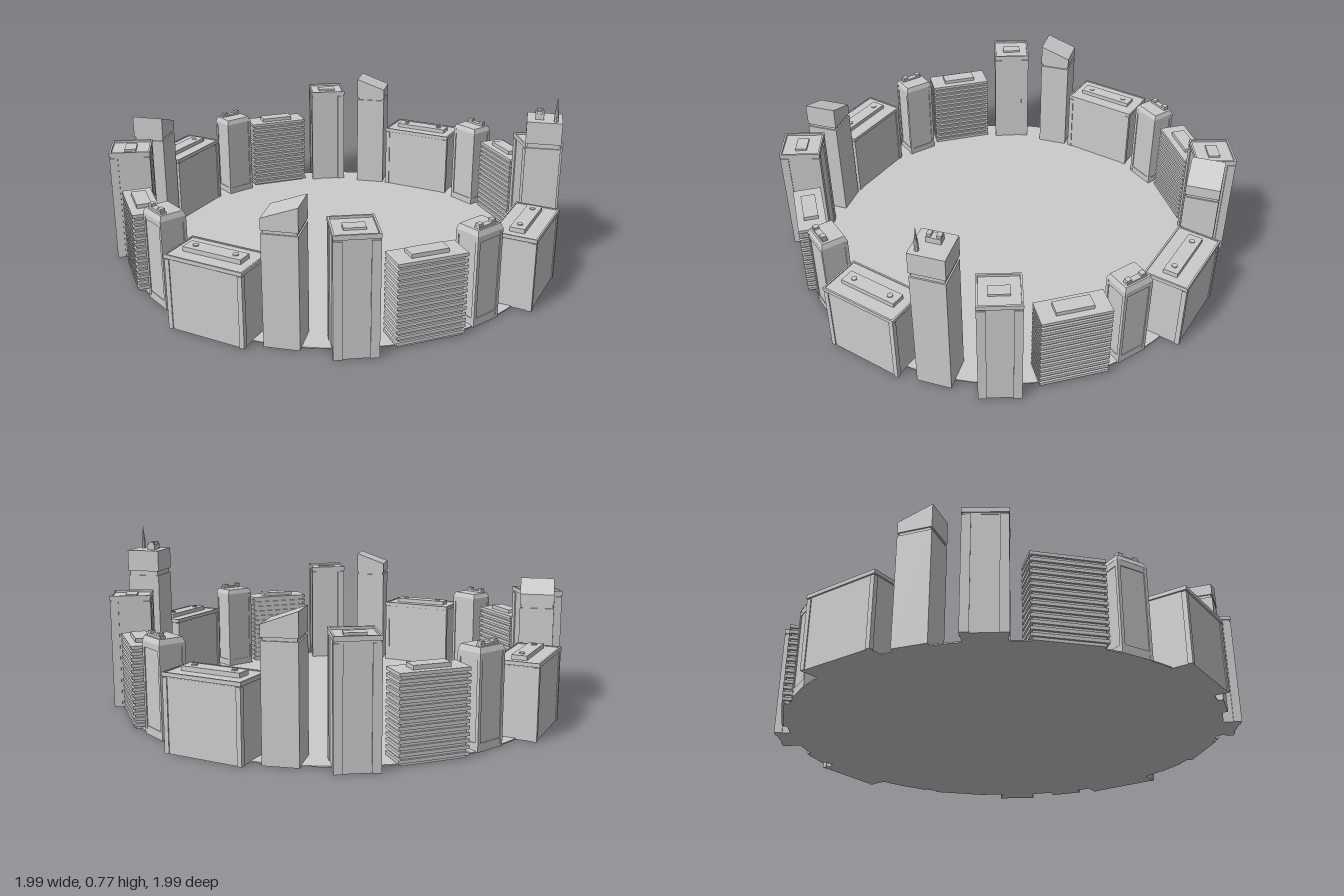
import * as THREE from 'three';

const material = new THREE.MeshStandardMaterial({ color: 0xcccccc, flatShading: true });

function add(parent, name, geometry, x = 0, y = 0, z = 0) {
  const mesh = new THREE.Mesh(geometry, material);
  mesh.name = name;
  mesh.position.set(x, y, z);
  parent.add(mesh);
  return mesh;
}

// Box resting on height y0
function box(parent, name, w, h, d, y0 = 0, x = 0, z = 0) {
  return add(parent, name, new THREE.BoxGeometry(w, h, d), x, y0 + h / 2, z);
}

// Box whose top is drawn in by a small bevel
function bevelBox(parent, name, w, h, d, y0, inset) {
  const g = new THREE.BoxGeometry(w, h, d);
  const p = g.attributes.position;
  for (let i = 0; i < p.count; i++) {
    if (p.getY(i) < 0) continue;
    p.setX(i, p.getX(i) - Math.sign(p.getX(i)) * inset);
    p.setZ(i, p.getZ(i) - Math.sign(p.getZ(i)) * inset);
  }
  g.computeVertexNormals();
  return add(parent, name, g, 0, y0 + h / 2, 0);
}

// Four corner piers around a slightly recessed core
function framedBody(parent, w, h, d, pier, recess) {
  box(parent, 'core', w - 2 * recess, h, d - 2 * recess);
  for (const sx of [-1, 1]) for (const sz of [-1, 1]) {
    box(parent, 'cornerPier', pier, h, pier, 0, sx * (w - pier) / 2, sz * (d - pier) / 2);
  }
}

// Raised rim around a roof
function parapet(parent, w, h, d, y0, t) {
  for (const s of [-1, 1]) {
    box(parent, 'parapet', w, h, t, y0, 0, s * (d - t) / 2);
    box(parent, 'parapet', t, h, d - 2 * t, y0, s * (w - t) / 2, 0);
  }
}

// Slim tower with recessed panels and rooftop units
function slimTower(g) {
  framedBody(g, 0.14, 0.385, 0.115, 0.014, 0.004);
  box(g, 'plinth', 0.138, 0.035, 0.113);
  box(g, 'lintel', 0.138, 0.025, 0.113, 0.36);
  bevelBox(g, 'crown', 0.14, 0.022, 0.115, 0.385, 0.008);
  box(g, 'roofBar', 0.1, 0.009, 0.025, 0.407, 0, 0.03);
  for (const x of [-0.038, 0.032]) box(g, 'roofUnit', 0.022, 0.02, 0.022, 0.407, x, 0.03);
}

// Office block with projecting floor bands
function bandedBlock(g) {
  const floors = 14, pitch = 0.35 / floors;
  box(g, 'core', 0.268, 0.35, 0.104);
  for (let i = 0; i < floors; i++) {
    box(g, 'floorBand', 0.288, pitch * 0.55, 0.122, i * pitch + pitch * 0.45);
  }
  box(g, 'roofSlab', 0.155, 0.017, 0.062, 0.35);
}

// Square tower with piers, parapet and sunken roof unit
function squareTower(g) {
  framedBody(g, 0.174, 0.475, 0.174, 0.035, 0.005);
  box(g, 'crownBase', 0.166, 0.01, 0.166, 0.475);
  box(g, 'crown', 0.176, 0.009, 0.176, 0.482);
  parapet(g, 0.176, 0.01, 0.176, 0.491, 0.008);
  box(g, 'roofUnit', 0.085, 0.009, 0.05, 0.491);
}

// Tower with a roof sloping along its width
function wedgeTower(g) {
  box(g, 'body', 0.142, 0.465, 0.142);
  box(g, 'groove', 0.13, 0.015, 0.13, 0.465);
  const cap = new THREE.Shape([
    new THREE.Vector2(-0.071, 0.478), new THREE.Vector2(0.071, 0.478),
    new THREE.Vector2(0.071, 0.576), new THREE.Vector2(-0.071, 0.525),
  ]);
  add(g, 'slopedCap', new THREE.ExtrudeGeometry(cap, { depth: 0.142, bevelEnabled: false }), 0, 0, -0.071);
}

// Broad block with a long roof slab and vents
function broadBlock(g) {
  framedBody(g, 0.345, 0.298, 0.186, 0.02, 0.004);
  box(g, 'groove', 0.335, 0.006, 0.176, 0.298);
  box(g, 'cap', 0.35, 0.012, 0.19, 0.302);
  parapet(g, 0.35, 0.004, 0.19, 0.314, 0.007);
  box(g, 'roofSlab', 0.26, 0.019, 0.062, 0.314);
  for (const x of [-0.09, 0.09]) {
    add(g, 'vent', new THREE.CylinderGeometry(0.012, 0.012, 0.005, 12), x, 0.335, 0);
  }
}

// Tallest tower with overhanging top block, plant and mast
function mastTower(g) {
  box(g, 'body', 0.146, 0.555, 0.146);
  box(g, 'neck', 0.134, 0.022, 0.134, 0.555);
  box(g, 'topBlock', 0.148, 0.095, 0.148, 0.575);
  box(g, 'roofPlant', 0.06, 0.024, 0.036, 0.67, 0, -0.022);
  for (const x of [-0.02, 0.02]) box(g, 'roofUnit', 0.018, 0.035, 0.025, 0.67, x, -0.022);
  add(g, 'mastBase', new THREE.CylinderGeometry(0.008, 0.01, 0.05, 8), -0.045, 0.695, 0.046);
  add(g, 'mast', new THREE.CylinderGeometry(0.001, 0.006, 0.05, 8), -0.045, 0.745, 0.046);
}

export function createModel() {
  const model = new THREE.Group();
  model.name = 'cityRing';

  // Round ground plate
  add(model, 'groundDisc', new THREE.CylinderGeometry(0.935, 0.935, 0.005, 72), 0, 0.0025, 0);

  // One quarter of the ring: builder, x, z, turn in degrees
  const quarter = [
    ['squareTower', squareTower, -0.505, 0.768, -30],
    ['bandedBlock', bandedBlock, -0.232, 0.861, -16.5],
    ['slimTower', slimTower, 0.022, 0.88, 2],
    ['broadBlock', broadBlock, 0.342, 0.833, 26],
    ['wedgeTower', wedgeTower, 0.572, 0.673, 41],
  ];

  for (let q = 0; q < 4; q++) {
    const side = new THREE.Group();
    side.name = 'quarter' + (q + 1);
    side.rotation.y = q * Math.PI / 2;
    for (const [name, build, x, z, turn] of quarter) {
      // The mast tower takes the place of one wedge tower
      const special = q === 1 && build === wedgeTower;
      const building = new THREE.Group();
      building.name = special ? 'mastTower' : name;
      (special ? mastTower : build)(building);
      building.position.set(special ? 0.595 : x, 0, special ? 0.678 : z);
      building.rotation.y = THREE.MathUtils.degToRad(turn);
      side.add(building);
    }
    model.add(side);
  }
  return model;
}
